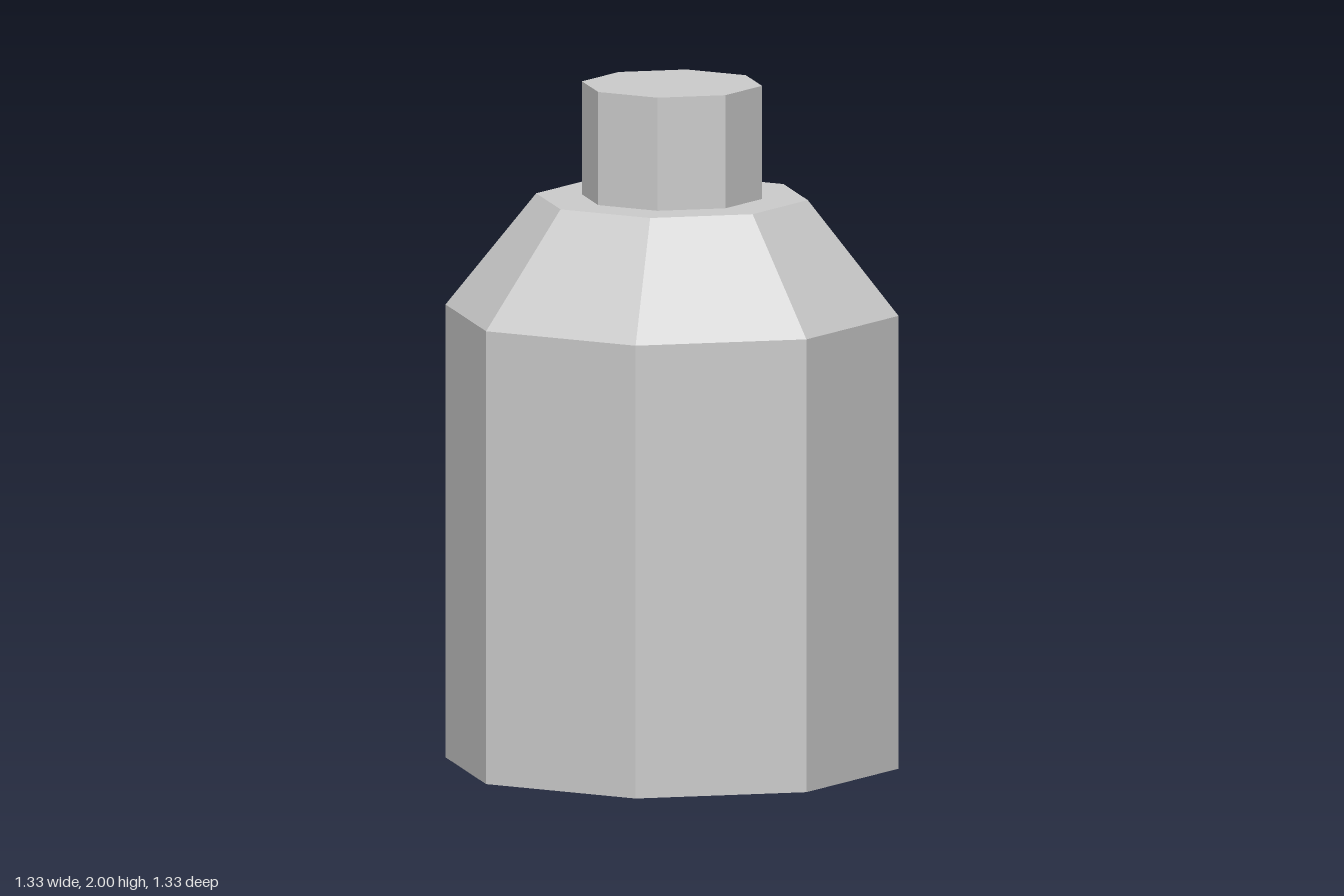
import * as THREE from 'three';

const SIDES = 8;

export function createModel() {
  const model = new THREE.Group();
  model.name = 'bottle';
  const grey = new THREE.MeshStandardMaterial({ color: 0xcccccc, flatShading: true });
  grey.name = 'light grey';

  // One eight-sided section standing between two heights
  const addSection = (name, bottomRadius, topRadius, y0, y1, open = false) => {
    const geometry = new THREE.CylinderGeometry(topRadius, bottomRadius, y1 - y0, SIDES, 1, open);
    const mesh = new THREE.Mesh(geometry, grey);
    mesh.name = name;
    mesh.position.y = (y0 + y1) / 2;
    model.add(mesh);
    return mesh;
  };

  // Flat horizontal face, ring-shaped when it has an inner radius
  const addFace = (name, inner, outer, y, down = false) => {
    const geometry = inner > 0
      ? new THREE.RingGeometry(inner, outer, SIDES, 1)
      : new THREE.CircleGeometry(outer, SIDES);
    const mesh = new THREE.Mesh(geometry, grey);
    mesh.name = name;
    mesh.rotation.x = down ? Math.PI / 2 : -Math.PI / 2;
    mesh.position.y = y;
    model.add(mesh);
  };

  addFace('base', 0, 0.667, 0, true);
  addSection('body', 0.667, 0.667, 0, 1.333, true);
  addSection('shoulder', 0.667, 0.4, 1.333, 1.667, true);
  addFace('shoulderRim', 0.265, 0.4, 1.667);
  addSection('neck', 0.265, 0.265, 1.667, 2, true);
  addFace('neckTop', 0, 0.265, 2);

  return model;
}
